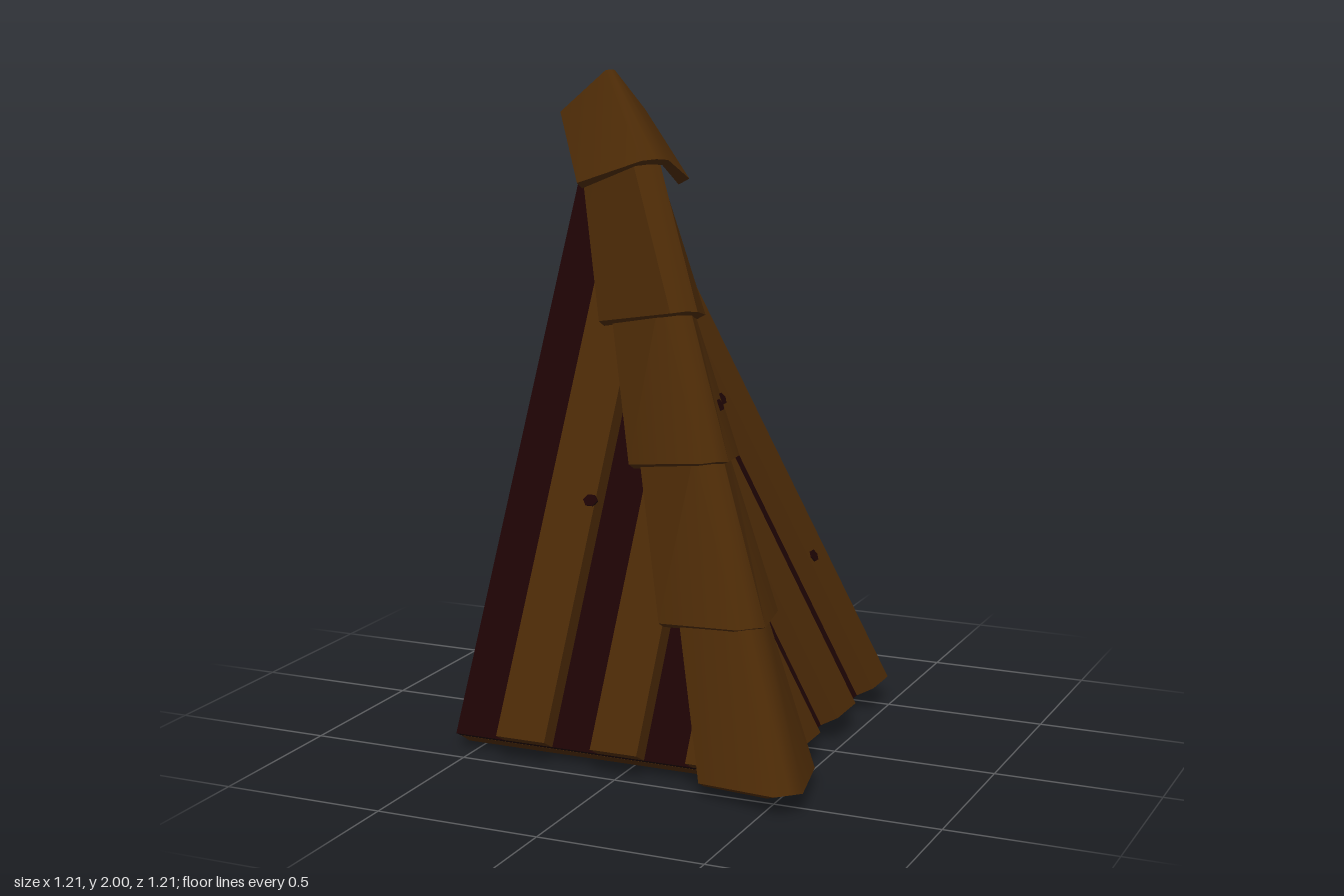
import * as THREE from 'three';
import { toCreasedNormals } from 'three/addons/utils/BufferGeometryUtils.js';

const brown = new THREE.MeshStandardMaterial({ color: 0x4a2906 });
brown.name = 'brown wood';
const dark = new THREE.MeshStandardMaterial({ color: 0x1c0304 });
dark.name = 'dark red wood';

const EAVE = 0.435;              // eave distance from the centre
const Y0 = 0.048;                // eave height
const TILT = Math.atan(0.547);   // lean of both slopes from vertical
const COS = Math.cos(TILT), SIN = Math.sin(TILT);
const PLANK = 0.062;             // plank thickness

function shapeOf(points) {
  return new THREE.Shape(points.map(([x, y]) => new THREE.Vector2(x, y)));
}

// Slab lying on a slope; points are [position along the eave, length up the slope]
function slab(points, from, to, right) {
  const pts = right ? points.map(([u, s]) => [-u, s]) : points;
  const g = new THREE.ExtrudeGeometry(shapeOf(pts), { depth: to - from, bevelEnabled: false });
  g.translate(0, 0, from);
  g.rotateX(-TILT);
  g.translate(0, Y0, EAVE);
  if (right) g.rotateY(Math.PI / 2);
  return g;
}

// Bar along the eave; the profile is [distance outward, height]
function bar(profile, from, to, right) {
  const g = new THREE.ExtrudeGeometry(shapeOf(profile), { depth: to - from, bevelEnabled: false });
  if (right) g.translate(0, 0, from);
  else g.rotateY(-Math.PI / 2).translate(to, 0, 0);
  return g;
}

// Folded cap piece between two stations {r, y: ridge; wx, wy, wz: wing edge; soft: ridge rounding}
function capGeometry(low, high, t = 0.042) {
  const n = t * COS, d = t * SIN;
  const section = ({ r, y, wx, wy, wz, soft = 1 }) => {
    const a = r - 0.04 * soft, b = r + 0.022 * soft, e = y - 0.005 * soft;
    const outer = [[wx, wy, wz], [a, e, b], [r, y, r], [b, e, a], [wz, wy, wx]];
    const inner = [
      [wx, wy - d, wz - n], [a - n, e - d, b - n], [r - n, y - d, r - n],
      [b - n, e - d, a - n], [wz - n, wy - d, wx],
    ];
    return [...outer, ...inner.reverse()];
  };
  const b = section(low), h = section(high), pos = [];
  const quad = (p, q, r, s) => pos.push(...p, ...q, ...r, ...p, ...r, ...s);
  for (let i = 0; i < 10; i++) {
    const j = (i + 1) % 10;
    quad(b[i], b[j], h[j], h[i]);
  }
  for (let i = 0; i < 4; i++) {
    quad(b[i + 1], b[i], b[9 - i], b[8 - i]);
    quad(h[i], h[i + 1], h[8 - i], h[9 - i]);
  }
  const g = new THREE.BufferGeometry();
  g.setAttribute('position', new THREE.Float32BufferAttribute(pos, 3));
  return toCreasedNormals(g, 0.75);
}

export function createModel() {
  const model = new THREE.Group();
  model.name = 'hipRoofCorner';
  const add = (parent, name, geometry, material) => {
    const mesh = new THREE.Mesh(geometry, material);
    mesh.name = name;
    parent.add(mesh);
  };
  const hip = u => (EAVE - u) / SIN;   // slope length at which the hip is reached

  // Knots are [position along the eave, height, lift off the slope]
  const sides = [
    { name: 'frontSlope', right: false, end: -0.56, shift: 0,
      planks: [[-0.395, -0.235], [-0.085, 0.065], [0.22, 0.37]],
      knots: [[-0.25, 0.735, PLANK]] },
    { name: 'rightSlope', right: true, end: -0.545, shift: -0.01,
      planks: [[-0.545, -0.405], [-0.24, -0.08], [0.07, 0.23]],
      knots: [[-0.095, 0.64, PLANK], [-0.44, 0.48, PLANK], [-0.07, 1.02, 0.17], [-0.17, 1.02, 0.14]] },
  ];

  for (const { name, right, end, shift, planks, knots } of sides) {
    const slope = new THREE.Group();
    slope.name = name;
    slope.position.x = shift;
    model.add(slope);

    // Dark sheathing under the planks, stopped short of the peak
    const top = -0.5;
    add(slope, 'sheathing',
      slab([[end, 0], [EAVE, 0], [top, hip(top)], [end, hip(top)]], -0.03, 0, right), dark);

    // Raised planks, cut along the hip
    for (const [a, b] of planks) {
      add(slope, 'plank', slab([[a, 0], [b, 0], [b, hip(b)], [a, hip(a)]], 0, PLANK, right), brown);
    }

    // Small dark knots
    for (const [u, y, lift] of knots) {
      const s = (y - Y0 - lift * SIN) / COS;
      const ring = [];
      for (let i = 0; i < 6; i++) {
        const a = i * Math.PI / 3;
        ring.push([u + 0.024 * Math.cos(a), s + 0.02 * Math.sin(a)]);
      }
      add(slope, 'knot', slab(ring, lift - 0.003, lift + 0.005, right), dark);
    }

    // Deep rafter closing the open end of the slope, doubled below the peak
    const foot = [[0.15, 0.08], [0.36, 0.01], [0.4, 0.03], [0.43, 0.046]];
    add(slope, 'endRafter', bar([
      ...foot, [-0.545, 1.83], [-0.545, 1.35],
    ], end - 0.002, end + 0.05, right), brown);
    add(slope, 'innerRafter', bar([
      ...foot, [-0.39, 1.54], [-0.54, 1.54], [-0.54, 1.341],
    ], end + 0.05, end + 0.12, right), brown);

    // Wall plate along the eave, tucked behind the sheathing edge
    add(slope, 'wallPlate', bar([
      [0.22, 0], [0.355, 0], [0.403, 0.031], [0.37, 0.085], [0.22, 0.085],
    ], end, 0.35, right), brown);

    // Wedge shaped inner beam
    add(slope, 'innerBeam', bar([
      [-0.19, 0.09], [0, 0.05], [-0.15, 0.32],
    ], end, -0.05, right), brown);
  }

  // Overlapping caps up the hip
  const caps = new THREE.Group();
  caps.name = 'hipCaps';
  model.add(caps);
  const stations = [
    { r: 0.582, y: 0.065, wx: 0.285, wy: 0.045, wz: 0.543 },
    { r: 0.39, y: 0.475, wx: 0.07, wy: 0.44, wz: 0.34 },
    { r: 0.19, y: 0.905, wx: -0.12, wy: 0.86, wz: 0.135 },
    { r: 0.013, y: 1.315, wx: -0.31, wy: 1.255, wz: -0.06 },
  ];
  for (const s of stations) {
    add(caps, 'hipCap', capGeometry(s, {
      r: s.r - 0.24, y: s.y + 0.45, wx: s.wx - 0.165, wy: s.wy + 0.43, wz: s.wz - 0.23,
    }), brown);
  }
  add(caps, 'peakCap', capGeometry(
    { r: -0.16, y: 1.75, wx: -0.435, wy: 1.665, wz: -0.17 },
    { r: -0.45, y: 2.0, wx: -0.605, wy: 1.865, wz: -0.4, soft: 0.35 },
  ), brown);

  return model;
}
